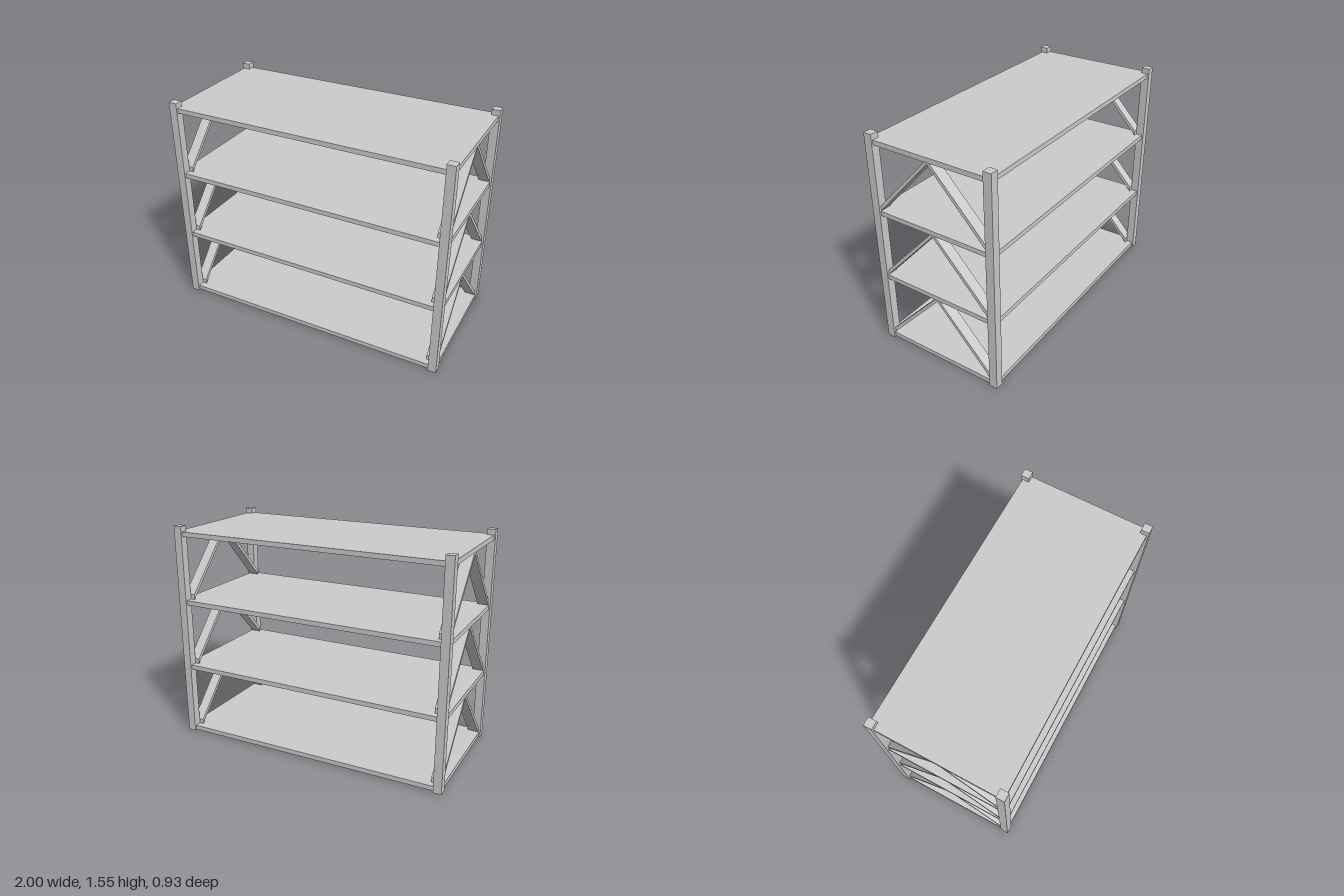
import * as THREE from 'three';

const material = new THREE.MeshStandardMaterial({ color: 0xcccccc, flatShading: true });

function add(parent, name, geometry, x, y, z) {
  const mesh = new THREE.Mesh(geometry, material);
  mesh.name = name;
  mesh.position.set(x, y, z);
  parent.add(mesh);
}

export function createModel() {
  const group = new THREE.Group();
  group.name = 'shelvingRack';

  const height = 1.55, thick = 0.033, pitch = 0.4905, firstShelf = 0.007;

  // Four corner posts
  const post = new THREE.BoxGeometry(0.058, height, 0.058);
  for (const sx of [-1, 1])
    for (const sz of [-1, 1])
      add(group, 'cornerPost', post, sx * 0.971, height / 2, sz * 0.438);

  // Four shelves
  const shelf = new THREE.BoxGeometry(1.98, thick, 0.91);
  for (let i = 0; i < 4; i++)
    add(group, 'shelf', shelf, 0, firstShelf + i * pitch + thick / 2, 0);

  // Inverted V brace, drawn in z and y, filling the gap between two shelves
  const gap = pitch - thick, depth = 0.075;
  const outline = [
    [0.41, 0], [0.41, 0.036], [0.015, gap], [-0.015, gap],
    [-0.41, 0.036], [-0.41, 0], [0, gap - 0.014],
  ].map(([z, y]) => new THREE.Vector2(z, y));
  const brace = new THREE.ExtrudeGeometry(new THREE.Shape(outline), { depth, bevelEnabled: false });
  brace.translate(0, 0, -depth / 2);
  brace.rotateY(-Math.PI / 2);
  for (const sx of [-1, 1])
    for (let i = 0; i < 3; i++)
      add(group, 'endBrace', brace, sx * 0.947, firstShelf + thick + i * pitch, 0);

  return group;
}
